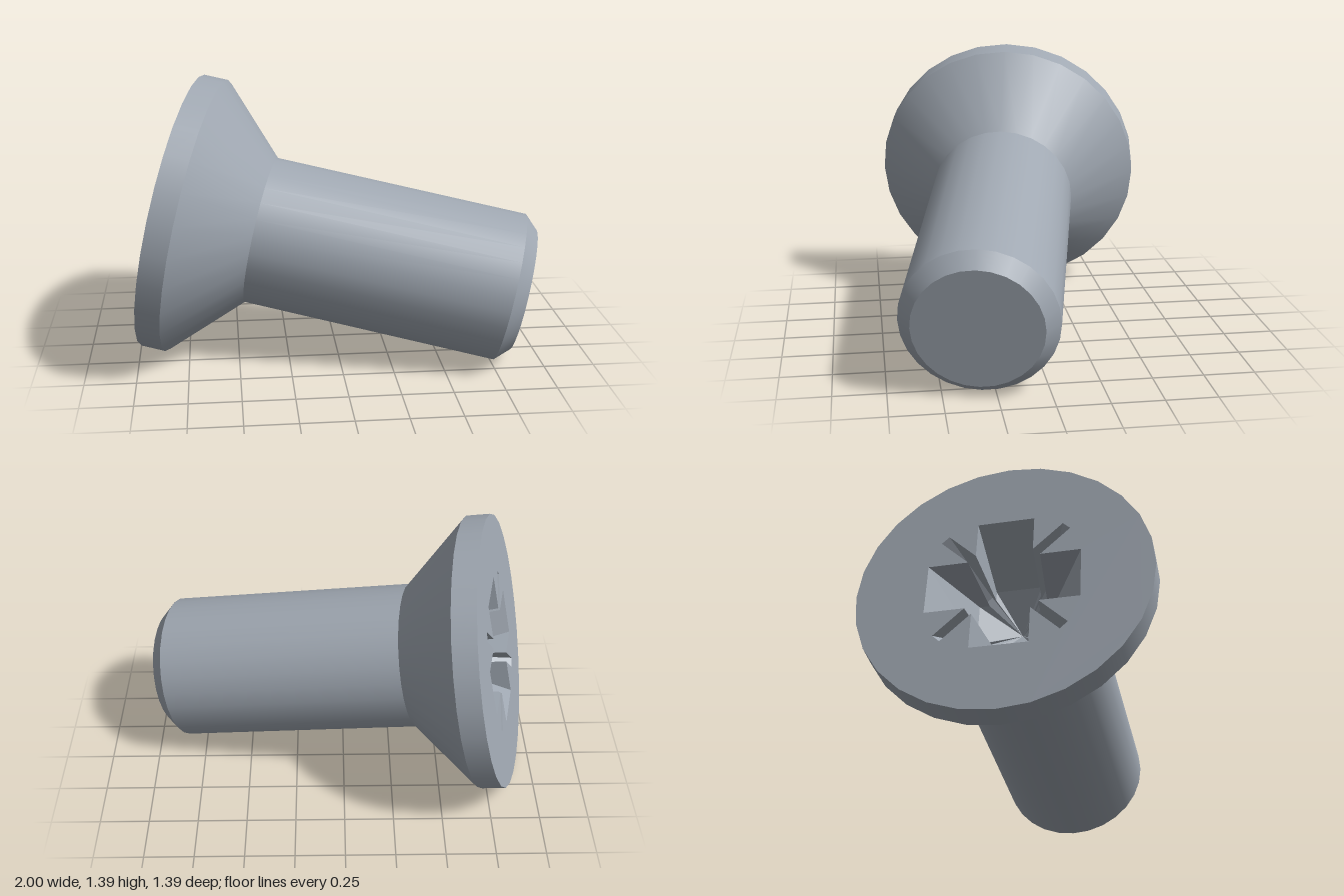
import * as THREE from 'three';

const SIDES = 28;
const HEAD_R = 0.698;

export function createModel() {
  const steel = new THREE.MeshStandardMaterial({ color: 0xa0a8b2 });
  steel.name = 'steel grey';

  const screw = new THREE.Group();
  screw.name = 'screw';
  const add = (name, geometry) => {
    const mesh = new THREE.Mesh(geometry, steel);
    mesh.name = name;
    screw.add(mesh);
  };

  // Turned sections: [name, radius, depth, next radius, next depth], one lathe each for crisp edges
  const sections = [
    ['headRim', HEAD_R, 0, HEAD_R, 0.122],
    ['countersink', HEAD_R, 0.122, 0.372, 0.447],
    ['shaft', 0.372, 0.447, 0.372, 1.717],
    ['tipBevel', 0.372, 1.717, 0.306, 1.786],
    ['tipFace', 0.306, 1.786, 0, 1.786],
  ];
  for (const [name, r0, s0, r1, s1] of sections) {
    const profile = [new THREE.Vector2(r0, s0), new THREE.Vector2(r1, s1)];
    add(name, new THREE.LatheGeometry(profile, SIDES));
  }

  // Cross outline with a thin notch in every corner: L wing reach, w half width, n notch width, e notch reach
  const crossOutline = (L, w, n, e) => {
    const quarter = [[L, -w], [L, w], [w + n, w], [w + n + e, w + e], [w + e, w + n + e], [w, w + n]];
    const points = [];
    for (let k = 0; k < 4; k++) {
      for (const [x, y] of quarter) {
        points.push(new THREE.Vector2(x, y).rotateAround(new THREE.Vector2(), k * Math.PI / 2));
      }
    }
    return points;
  };
  const mouth = crossOutline(0.36, 0.135, 0.035, 0.137);
  const floor = crossOutline(0.19, 0.11, 0.03, 0.02);

  // Head face, pierced by the drive recess
  const disc = new THREE.Shape();
  for (let i = 0; i < SIDES; i++) {
    const a = i / SIDES * Math.PI * 2;
    disc[i ? 'lineTo' : 'moveTo'](HEAD_R * Math.cos(a), HEAD_R * Math.sin(a));
  }
  disc.closePath();
  disc.holes.push(new THREE.Path(mouth));
  add('headFace', new THREE.ShapeGeometry(disc).rotateX(Math.PI / 2));

  // Tapered recess walls and its pointed bottom
  const walls = [], bottom = [];
  const depth = 0.3, apex = 0.42;
  mouth.forEach((a, i) => {
    const j = (i + 1) % mouth.length;
    const b = mouth[j], c = floor[j], d = floor[i];
    walls.push(a.x, a.y, 0, b.x, b.y, 0, c.x, c.y, -depth);
    walls.push(a.x, a.y, 0, c.x, c.y, -depth, d.x, d.y, -depth);
    bottom.push(d.x, d.y, -depth, c.x, c.y, -depth, 0, 0, -apex);
  });
  const fromTriangles = (positions) => {
    const g = new THREE.BufferGeometry();
    g.setAttribute('position', new THREE.Float32BufferAttribute(positions, 3));
    g.computeVertexNormals();
    return g.rotateX(Math.PI / 2);
  };
  add('recessWalls', fromTriangles(walls));
  add('recessBottom', fromTriangles(bottom));

  // Lean the whole screw: its axis runs from the head towards the tip
  const axis = new THREE.Vector3(1, -0.208, 0.208).normalize();
  const up = new THREE.Vector3(0, 1, 0).addScaledVector(axis, -axis.y).normalize();
  const side = new THREE.Vector3().crossVectors(up, axis);
  screw.quaternion.setFromRotationMatrix(new THREE.Matrix4().makeBasis(up, axis, side));
  screw.position.set(-0.8, 0.708, -0.013);

  const model = new THREE.Group();
  model.name = 'countersunkScrew';
  model.add(screw);
  return model;
}
